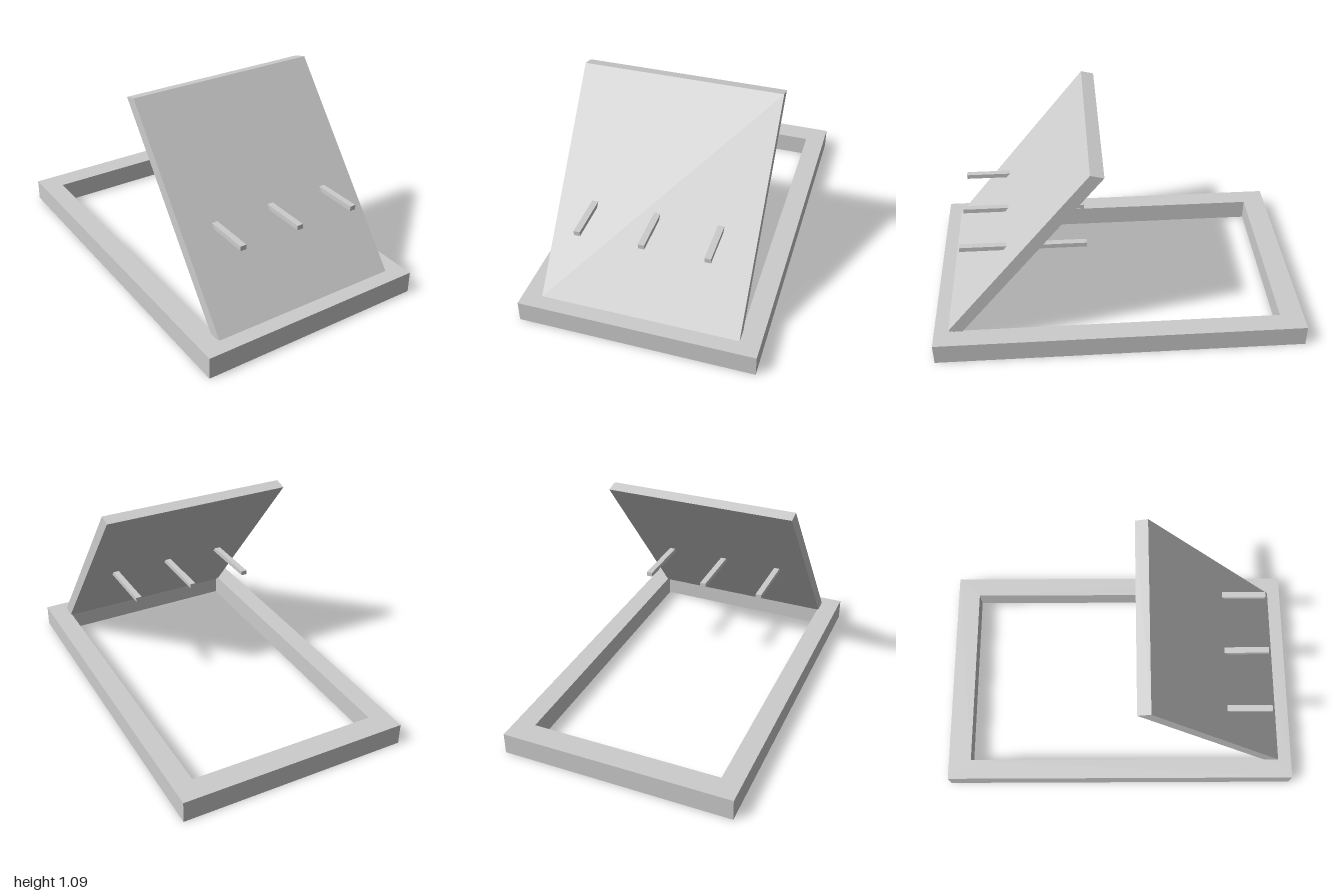
import * as THREE from 'three';

const gray = new THREE.MeshStandardMaterial({ color: 0xcccccc });
gray.name = 'light gray';

function addMesh(parent, name, geometry) {
  const mesh = new THREE.Mesh(geometry, gray);
  mesh.name = name;
  parent.add(mesh);
  return mesh;
}

// Closed outline of a rectangle centred on the origin
function rectPoints(halfW, halfH) {
  return [[-halfW, -halfH], [halfW, -halfH], [halfW, halfH], [-halfW, halfH]]
    .map(([x, y]) => new THREE.Vector2(x, y));
}

export function createModel() {
  const model = new THREE.Group();
  model.name = 'tiltedBoardOnFrame';

  // Flat rectangular base frame with an open middle
  const outline = new THREE.Shape(rectPoints(0.634, 1));
  outline.holes.push(new THREE.Path(rectPoints(0.523, 0.872).reverse()));
  const frame = new THREE.ExtrudeGeometry(outline, { depth: 0.119, bevelEnabled: false });
  frame.rotateX(-Math.PI / 2);
  addMesh(model, 'baseFrame', frame);

  // Leaning board: a slanted side profile (z, y) drawn out across x
  const boardWidth = 1.058;
  const profile = new THREE.Shape(
    [[0.924, 0.126], [0.151, 1.092], [0.082, 1.075], [0.855, 0.109]]
      .map(([z, y]) => new THREE.Vector2(z, y))
  );
  const board = new THREE.ExtrudeGeometry(profile, { depth: boardWidth, bevelEnabled: false });
  board.rotateY(-Math.PI / 2);
  board.translate(boardWidth / 2, 0, 0);
  addMesh(model, 'leaningBoard', board);

  // Three level pegs passing through the board
  const pegGeometry = new THREE.BoxGeometry(0.033, 0.025, 0.668);
  const pegs = new THREE.Group();
  pegs.name = 'pegs';
  model.add(pegs);
  for (const i of [-1, 0, 1]) {
    addMesh(pegs, 'peg', pegGeometry).position.set(i * 0.337 - 0.001, 0.534, 0.502);
  }

  return model;
}
